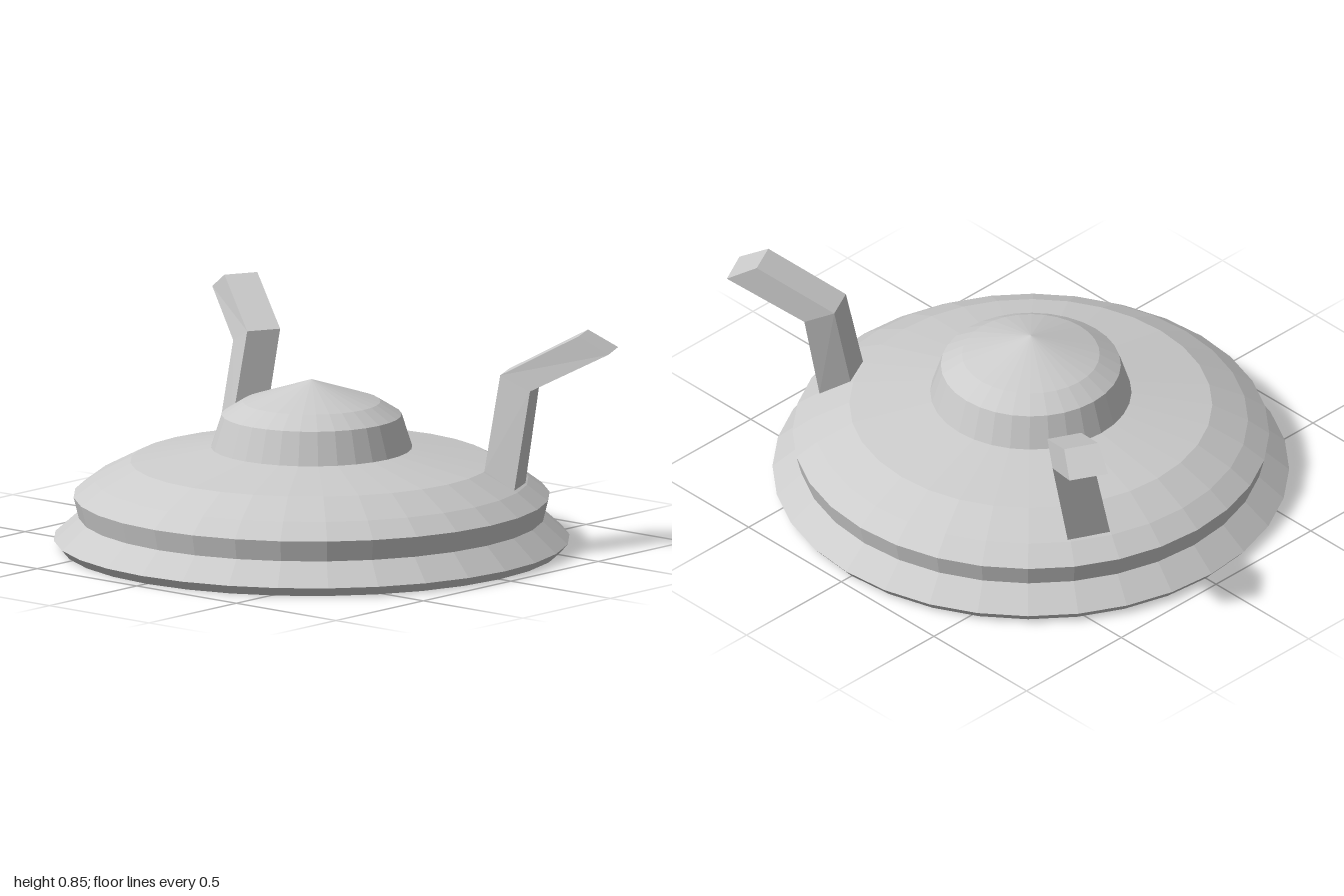
import * as THREE from 'three';

const material = new THREE.MeshStandardMaterial({ color: 0xcccccc, flatShading: true });

// Lathed part with 32 flat sides, profile given as [radius, height] from bottom to top
function turned(name, profile) {
  const points = profile.map(([r, y]) => new THREE.Vector2(r, y));
  const mesh = new THREE.Mesh(new THREE.LatheGeometry(points, 32), material);
  mesh.name = name;
  return mesh;
}

// Four-sided bent bar through a list of quad sections; side = 1 front, -1 back
function bentBar(name, sections, side) {
  const positions = [];
  const quad = (a, b, c, d) => {
    const corners = side > 0 ? [a, b, c, a, c, d] : [a, c, b, a, d, c];
    for (const [x, y, z] of corners) positions.push(x, y, z * side);
  };
  for (let s = 0; s < sections.length - 1; s++) {
    const low = sections[s], high = sections[s + 1];
    for (let i = 0; i < 4; i++) {
      const j = (i + 1) % 4;
      quad(low[i], low[j], high[j], high[i]);
    }
  }
  const first = sections[0], last = sections[sections.length - 1];
  quad(first[3], first[2], first[1], first[0]);
  quad(last[0], last[1], last[2], last[3]);
  const geometry = new THREE.BufferGeometry();
  geometry.setAttribute('position', new THREE.Float32BufferAttribute(positions, 3));
  geometry.computeVertexNormals();
  const mesh = new THREE.Mesh(geometry, material);
  mesh.name = name;
  return mesh;
}

export function createModel() {
  const group = new THREE.Group();
  group.name = 'saucer';

  // Flared bottom rim with a closed underside
  group.add(turned('rim', [[0, 0], [0.945, 0], [0.975, 0.035], [0.88, 0.12]]));

  // Band and shallow upper hull
  group.add(turned('hull', [[0.88, 0.12], [0.9, 0.2], [0.82, 0.26], [0.685, 0.33], [0.38, 0.385]]));

  // Raised cabin with a pointed roof
  group.add(turned('cabin', [[0.38, 0.385], [0.34, 0.51], [0.26, 0.56], [0, 0.645]]));

  // Pair of bent arms leaning outward: foot, elbow, tip
  const armSections = [
    [[0.31, 0.265, 0.745], [0.46, 0.265, 0.67], [0.39, 0.335, 0.575], [0.265, 0.335, 0.635]],
    [[0.4, 0.635, 0.745], [0.54, 0.635, 0.67], [0.475, 0.69, 0.575], [0.355, 0.69, 0.635]],
    [[0.565, 0.785, 0.995], [0.7, 0.785, 0.925], [0.635, 0.85, 0.83], [0.515, 0.85, 0.89]],
  ];
  group.add(bentBar('frontArm', armSections, 1));
  group.add(bentBar('backArm', armSections, -1));

  return group;
}
